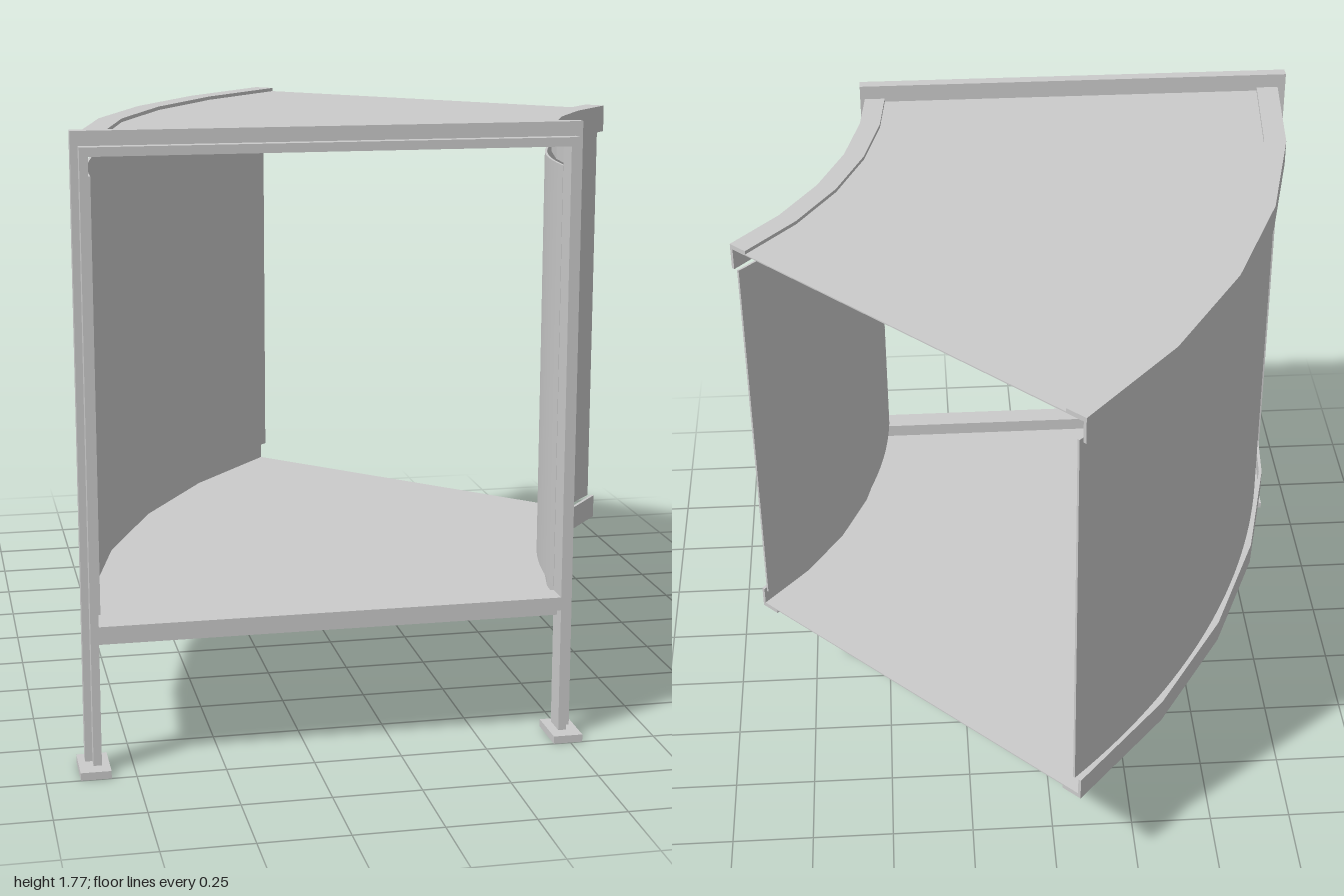
import * as THREE from 'three';
import { toCreasedNormals } from 'three/addons/utils/BufferGeometryUtils.js';

const CX = 1.86, CZ = 0.92;   // centre of the 45 degree bend
const FRONT = 0.882;          // curved parts stop against the back of the frame
const material = new THREE.MeshStandardMaterial({ color: 0xcccccc, side: THREE.DoubleSide });

// Points along an arc of radius r, in plan (x, z)
function arc(r, segments) {
  const points = [];
  for (let i = 0; i <= segments; i++) {
    const a = (i / segments) * Math.PI / 4;
    points.push(new THREE.Vector2(CX - r * Math.cos(a), Math.min(FRONT, CZ - r * Math.sin(a))));
  }
  return points;
}

// Ring sector between two radii, raised from y0 to y1
function sector(name, r0, r1, y0, y1, segments, smooth = false) {
  const shape = new THREE.Shape([...arc(r0, segments), ...arc(r1, segments).reverse()]);
  let geometry = new THREE.ExtrudeGeometry(shape, { depth: y1 - y0, bevelEnabled: false });
  geometry.rotateX(Math.PI / 2).translate(0, y1, 0);
  if (smooth) geometry = toCreasedNormals(geometry, 0.5);
  const mesh = new THREE.Mesh(geometry, material);
  mesh.name = name;
  return mesh;
}

// Box given by its limits on each axis
function box(name, x0, x1, y0, y1, z0, z1) {
  const mesh = new THREE.Mesh(new THREE.BoxGeometry(x1 - x0, y1 - y0, z1 - z0), material);
  mesh.position.set((x0 + x1) / 2, (y0 + y1) / 2, (z0 + z1) / 2);
  mesh.name = name;
  return mesh;
}

export function createModel() {
  const model = new THREE.Group();
  model.name = 'curvedTunnelSection';

  // Floor and roof sheets
  model.add(sector('floor', 1.36, 2.715, 0.376, 0.380, 5));
  model.add(sector('roof', 1.36, 2.715, 1.715, 1.719, 5));

  // Smooth curved walls
  model.add(sector('outerWall', 2.690, 2.697, 0.435, 1.65, 40, true));
  model.add(sector('innerWall', 1.377, 1.384, 0.435, 1.65, 40, true));

  // Faceted angle rails along the four long edges
  const sides = [
    { name: 'outer', flange: [2.65, 2.72], web: [2.71, 2.72] },
    { name: 'inner', flange: [1.355, 1.42], web: [1.355, 1.365] },
  ];
  for (const { name, flange, web } of sides) {
    const lower = new THREE.Group();
    lower.name = name + 'LowerRail';
    lower.add(sector('flange', ...flange, 0.365, 0.376, 5), sector('web', ...web, 0.365, 0.437, 5));
    const upper = new THREE.Group();
    upper.name = name + 'UpperRail';
    upper.add(sector('flange', ...flange, 1.719, 1.73, 5), sector('web', ...web, 1.648, 1.73, 5));
    model.add(lower, upper);
  }

  // Front frame: stepped posts and bars, deeper step at the back
  const frame = new THREE.Group();
  frame.name = 'frontFrame';
  frame.add(
    box('leftPostBack', 0.477, 0.52, 0.02, 1.775, 0.882, 0.918),
    box('leftPostFront', 0.477, 0.50, 0.02, 1.735, 0.918, 0.954),
    box('rightPostBack', -0.885, -0.842, 0.02, 1.775, 0.882, 0.918),
    box('rightPostFront', -0.865, -0.842, 0.02, 1.735, 0.918, 0.954),
    box('topBarBack', -0.842, 0.477, 1.71, 1.775, 0.882, 0.918),
    box('topBarFront', -0.842, 0.477, 1.71, 1.735, 0.918, 0.954),
    box('bottomBarBack', -0.842, 0.477, 0.36, 0.423, 0.882, 0.918),
    box('bottomBarFront', -0.842, 0.477, 0.385, 0.423, 0.918, 0.954),
    box('leftFoot', 0.45, 0.535, 0, 0.022, 0.86, 1.0),
    box('rightFoot', -0.905, -0.82, 0, 0.022, 0.86, 1.0),
  );
  model.add(frame);
  return model;
}
